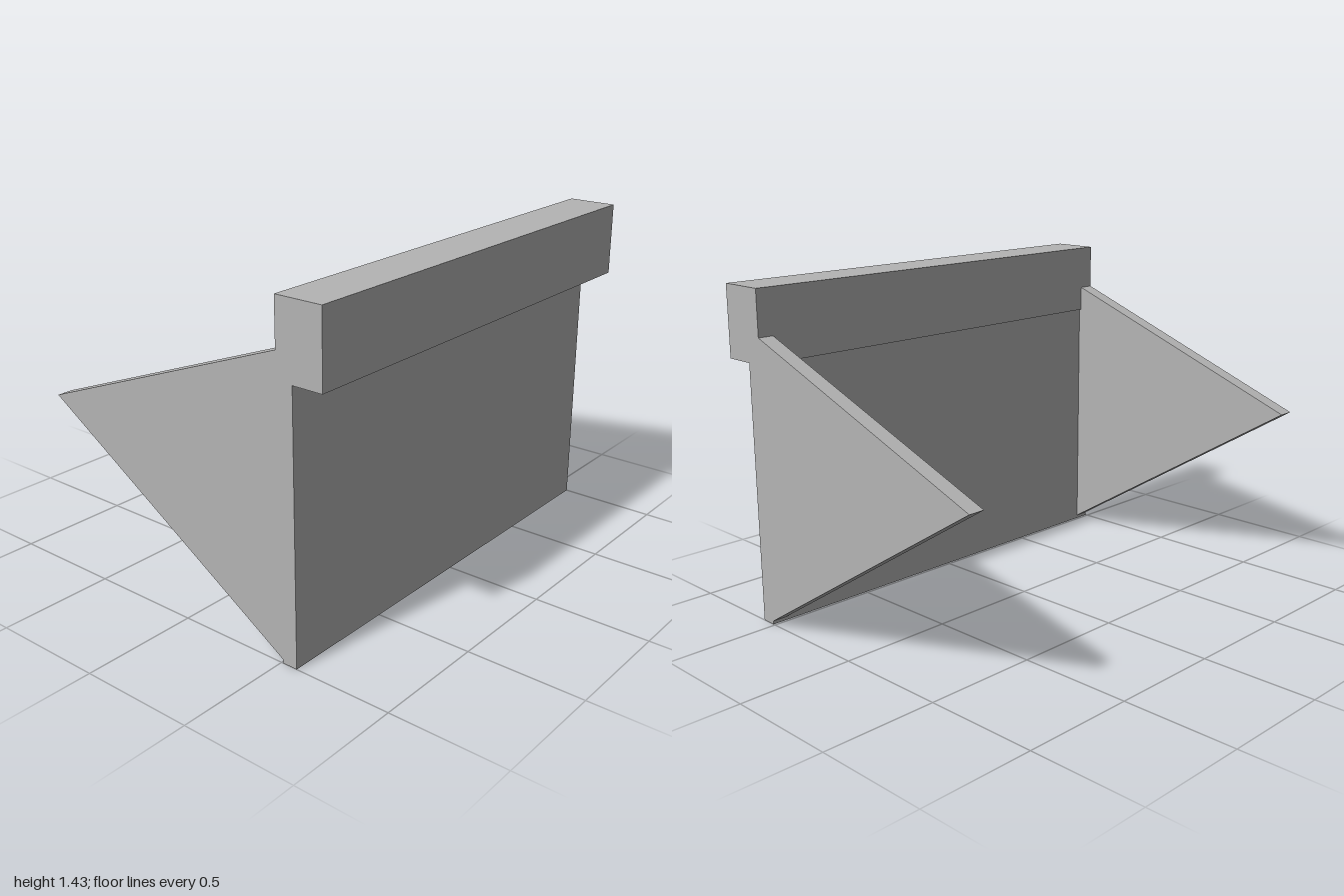
import * as THREE from 'three';

export function createModel() {
  const model = new THREE.Group();
  const grey = new THREE.MeshStandardMaterial({ color: 0xb4b4b4 });
  grey.name = 'grey';

  const add = (name, geometry, x, y, z) => {
    const mesh = new THREE.Mesh(geometry, grey);
    mesh.name = name;
    mesh.position.set(x, y, z);
    model.add(mesh);
  };

  // Upright front panel, and the thicker rail along its top
  add('frontPanel', new THREE.BoxGeometry(2, 1.12, 0.065), 0, 0.56, 0.5425);
  add('topRail', new THREE.BoxGeometry(2, 0.31, 0.21), 0, 1.275, 0.605);

  // Triangular side brackets: profile in (z, y), notched around the rail
  const profile = new THREE.Shape([
    [0.51, 0.015], [0.51, 1.12], [0.5, 1.12], [0.5, 1.232], [-0.71, 0.78],
  ].map(([z, y]) => new THREE.Vector2(z, y)));
  const bracket = new THREE.ExtrudeGeometry(profile, { depth: 0.07, bevelEnabled: false });
  bracket.rotateY(-Math.PI / 2); // thickness now runs along -x
  add('leftBracket', bracket, 1, 0, 0);
  add('rightBracket', bracket, -0.93, 0, 0);

  return model;
}
